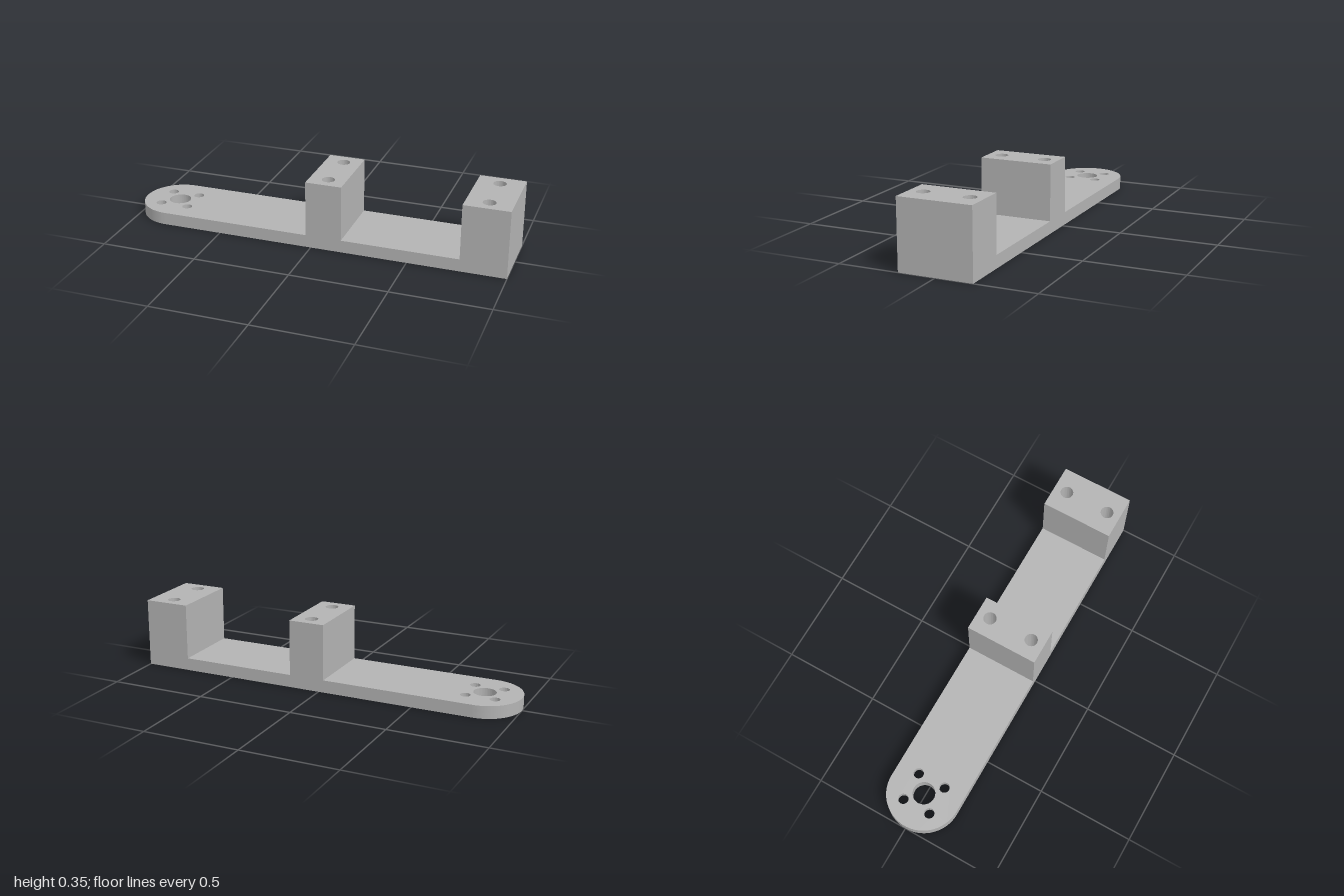
import * as THREE from 'three';
import { toCreasedNormals } from 'three/addons/utils/BufferGeometryUtils.js';

const HALF = 0.189;      // half width of the bar
const PLATE = 0.065;     // plate thickness
const TOP = 0.354;       // height of the blocks
const HUB = -1 + HALF;   // centre of the rounded end

export function createModel() {
  const grey = new THREE.MeshStandardMaterial({ color: 0xb3b3b3 });
  grey.name = 'plain grey';
  const model = new THREE.Group();
  model.name = 'mountingArm';

  // Extrude a plan outline upwards from y0 to y1, with round holes [x, z, radius]
  function slab(name, shape, holes, y0, y1) {
    for (const [x, z, r] of holes) {
      shape.holes.push(new THREE.Path().absarc(x, -z, r, 0, Math.PI * 2, true));
    }
    const extruded = new THREE.ExtrudeGeometry(shape, { depth: y1 - y0, bevelEnabled: false, curveSegments: 32 });
    extruded.rotateX(-Math.PI / 2).translate(0, y0, 0);
    const mesh = new THREE.Mesh(toCreasedNormals(extruded, 0.6), grey);
    mesh.name = name;
    model.add(mesh);
  }

  function rectangle(x0, x1) {
    return new THREE.Shape([[x0, -HALF], [x1, -HALF], [x1, HALF], [x0, HALF]].map(p => new THREE.Vector2(...p)));
  }

  function plateOutline() {
    const s = new THREE.Shape();
    s.moveTo(HUB, -HALF);
    s.lineTo(1, -HALF);
    s.lineTo(1, HALF);
    s.lineTo(HUB, HALF);
    s.absarc(HUB, 0, HALF, Math.PI / 2, Math.PI * 1.5, false);
    return s;
  }

  // Hub bore and four screw holes around it
  function hubHoles(screwRadius) {
    const holes = [[HUB, 0, 0.057]];
    for (const sx of [-1, 1]) for (const sz of [-1, 1]) holes.push([HUB + sx * 0.075, sz * 0.075, screwRadius]);
    return holes;
  }

  // Plate: wide counterbores below, narrow screw holes above
  slab('plateLower', plateOutline(), hubHoles(0.044), 0, 0.03);
  slab('plateUpper', plateOutline(), hubHoles(0.026), 0.03, PLATE);

  // Upright blocks, each with two blind holes in the top
  for (const [name, x0, x1, holeX] of [['middleBlock', -0.027, 0.16, 0.07], ['endBlock', 0.765, 1, 0.88]]) {
    const holes = [-0.118, 0.118].map(z => [holeX, z, 0.033]);
    slab(name, rectangle(x0, x1), holes, PLATE, TOP);
  }
  return model;
}
